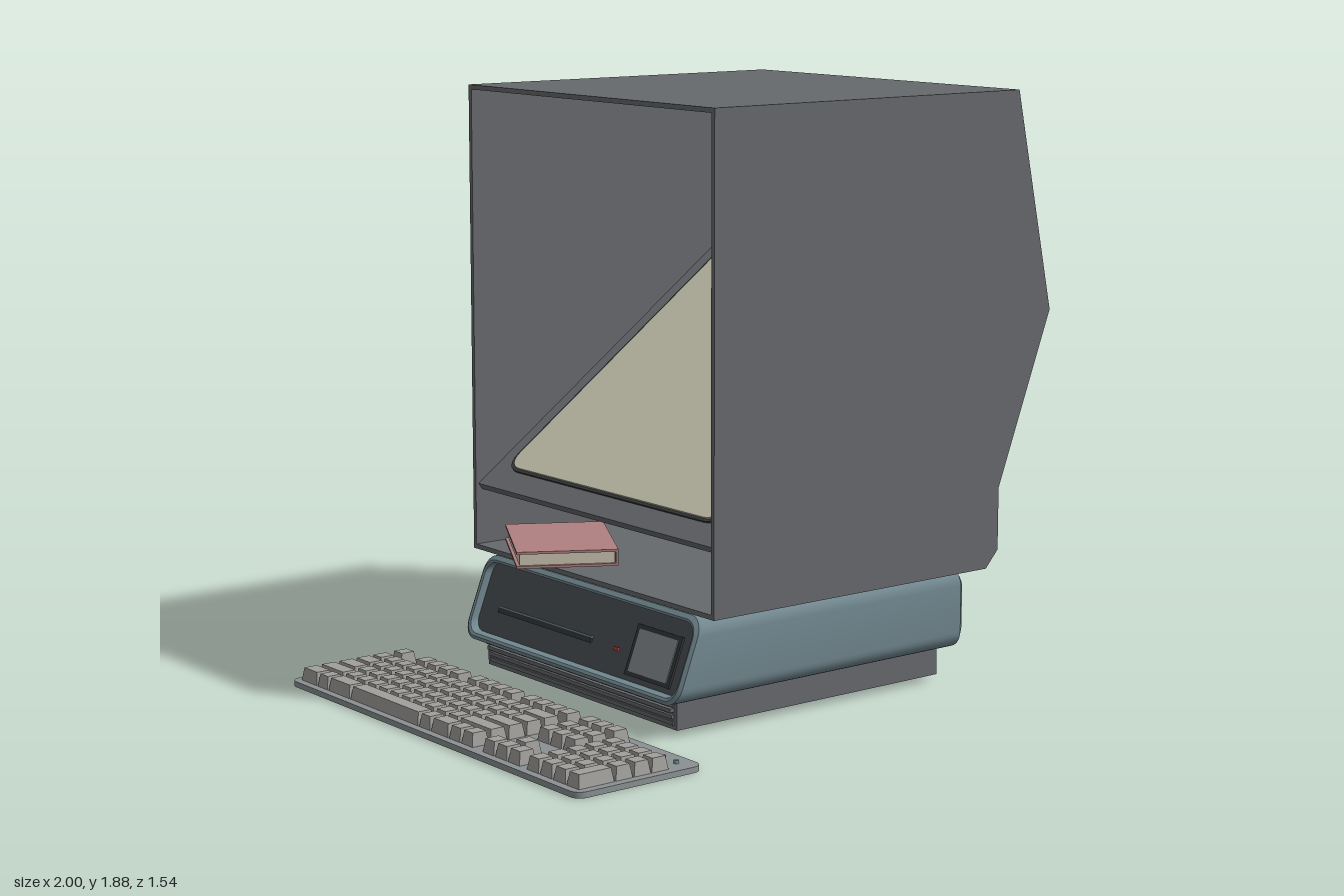
import * as THREE from 'three';
import { toCreasedNormals } from 'three/addons/utils/BufferGeometryUtils.js';

const mat = (color) => new THREE.MeshStandardMaterial({ color });
const M = {
  shell: mat(0x66696c), teal: mat(0x728890), panel: mat(0x4c5357), dark: mat(0x35393b),
  plate: mat(0x8b9193), key: mat(0xa09f9b), screen: mat(0xc2c0aa), cover: mat(0xb08080),
  pages: mat(0xd0c8b4), red: mat(0xb04038), green: mat(0x6f9a90),
};

function add(parent, name, geometry, material, x = 0, y = 0, z = 0) {
  const mesh = new THREE.Mesh(geometry, material);
  mesh.name = name;
  mesh.position.set(x, y, z);
  parent.add(mesh);
  return mesh;
}

function group(parent, name, x = 0, y = 0, z = 0) {
  const g = new THREE.Group();
  g.name = name;
  g.position.set(x, y, z);
  parent.add(g);
  return g;
}

const box = (x, y, z) => new THREE.BoxGeometry(x, y, z);

// Counter-clockwise rounded rectangle centred on the origin
function roundedRect(w, h, r, steps = 6) {
  const pts = [];
  [[1, 1], [-1, 1], [-1, -1], [1, -1]].forEach(([sx, sy], c) => {
    for (let i = 0; i <= steps; i++) {
      const a = (c + i / steps) * Math.PI / 2;
      pts.push(new THREE.Vector2(sx * (w / 2 - r) + r * Math.cos(a), sy * (h / 2 - r) + r * Math.sin(a)));
    }
  });
  return pts;
}

function extrude(pts, depth) {
  return new THREE.ExtrudeGeometry(new THREE.Shape(pts), { depth, bevelEnabled: false });
}

// Flat rounded slab lying in the xz plane, its base on y = 0
const slab = (x, z, r, thick) => toCreasedNormals(extrude(roundedRect(x, z, r), thick).rotateX(-Math.PI / 2), 0.6);

// Loft rings along x; optional caps close the two ends
function loft(rings, capStart, capEnd) {
  const pos = [];
  const tri = (...v) => v.forEach((p) => pos.push(p.x, p.y, p.z));
  const n = rings[0].length;
  for (let k = 0; k < rings.length - 1; k++) {
    for (let i = 0; i < n; i++) {
      const j = (i + 1) % n;
      const [a, b, c, d] = [rings[k][i], rings[k][j], rings[k + 1][j], rings[k + 1][i]];
      tri(a, d, c);
      tri(a, c, b);
    }
  }
  const last = rings[rings.length - 1];
  for (let i = 1; i < n - 1; i++) {
    if (capStart) tri(rings[0][0], rings[0][i], rings[0][i + 1]);
    if (capEnd) tri(last[0], last[i + 1], last[i]);
  }
  const g = new THREE.BufferGeometry();
  g.setAttribute('position', new THREE.Float32BufferAttribute(pos, 3));
  return toCreasedNormals(g, 0.5);
}

// Open-fronted cabinet with a reclined screen inside
function buildCabinet(root) {
  const cabinet = group(root, 'cabinet');
  const v = (list) => list.map(([x, y]) => new THREE.Vector2(x, y));
  const outer = [[-0.36, 0.375], [0.74, 0.375], [0.79, 0.43], [0.79, 0.63], [1, 1.18], [0.85, 1.88], [-0.36, 1.88]];
  const inner = [[-0.36, 1.865], [0.838, 1.865], [0.984, 1.18], [0.775, 0.633], [0.775, 0.436], [0.733, 0.39], [-0.36, 0.39]];
  add(cabinet, 'cabinetWrap', extrude(v([...outer, ...inner]), 1.22), M.shell, 0, 0, -0.655);
  for (const z of [-0.67, 0.565]) add(cabinet, 'sidePanel', extrude(v(outer), 0.015), M.shell, 0, 0, z);

  const display = group(cabinet, 'display', -0.35, 0.59, -0.045);
  display.rotation.z = Math.atan2(0.585, 0.81);
  add(display, 'screenBezel', box(1.55, 0.025, 1.22), M.shell, 0.775, -0.0125, 0);
  add(display, 'screenRim', slab(1.32, 1.11, 0.07, 0.006), M.dark, 0.74, 0, 0);
  add(display, 'screen', slab(1.3, 1.08, 0.06, 0.012), M.screen, 0.74, 0, 0);
}

// Teal base unit with a leaning, recessed front
function buildBase(root) {
  const base = group(root, 'baseUnit');
  const cy = 0.24, cz = -0.04;
  const ring = (inset, xAt) => roundedRect(1.12 - 2 * inset, 0.26 - 2 * inset, 0.055 - inset * 0.6)
    .map((p) => new THREE.Vector3(xAt(p.y), cy + p.y, cz + p.x));
  const lean = (off) => (y) => -0.41 + off + y * (0.1 / 0.26);
  add(base, 'baseBody', loft([
    ring(0.022, lean(0.032)), ring(0.02, lean(0.003)), ring(0.012, lean(0)), ring(0, lean(0.008)),
    ring(0, () => 0.69), ring(0.026, () => 0.72),
  ], false, true), M.teal);
  add(base, 'frontPanel', loft([ring(0.02, lean(0.03)), ring(0.02, lean(0.036))], true, true), M.panel);

  // Details on the front panel
  const front = group(base, 'frontDetails', -0.38, cy, cz);
  front.rotation.z = -Math.atan2(0.1, 0.26);
  add(front, 'driveSlot', box(0.012, 0.016, 0.5), M.dark, 0, -0.035, -0.19);
  add(front, 'driveSlotLip', box(0.018, 0.006, 0.5), M.teal, 0, -0.024, -0.19);
  add(front, 'indicatorLight', box(0.016, 0.012, 0.02), M.red, 0, -0.035, 0.19);
  add(front, 'windowFrame', box(0.014, 0.16, 0.22), M.dark, 0, -0.02, 0.37);
  add(front, 'window', box(0.02, 0.135, 0.19), M.plate, 0, -0.02, 0.37);

  // Plinth with stepped ribs at its front
  add(base, 'plinth', box(1.05, 0.095, 0.99), M.shell, 0.125, 0.0675, cz);
  for (let i = 0; i < 4; i++) {
    add(base, 'plinthRib', box(0.03, 0.012, 0.96), M.shell, -0.405 + i * 0.005, 0.1 - i * 0.02, cz);
  }
}

// Book lying askew on the cabinet floor
function buildBook(root) {
  const book = group(root, 'book', -0.492, 0.4, -0.24);
  book.rotation.y = Math.PI / 3;
  const w = 0.42, d = 0.32;
  for (const y of [0.005, 0.05]) add(book, 'bookCover', box(w, 0.008, d), M.cover, w / 2, y, d / 2);
  add(book, 'bookPages', box(w - 0.02, 0.04, d - 0.02), M.pages, w / 2, 0.0275, d / 2);
  add(book, 'bookSpine', box(w, 0.045, 0.008), M.cover, w / 2, 0.0275, d - 0.004);
}

// Keycap narrowing towards its top
function keycap(x, z, h) {
  const g = box(x, h, z);
  const p = g.attributes.position;
  for (let i = 0; i < p.count; i++) {
    if (p.getY(i) > 0) {
      p.setX(i, p.getX(i) - Math.sign(p.getX(i)) * 0.007);
      p.setZ(i, p.getZ(i) - Math.sign(p.getZ(i)) * 0.007);
    }
  }
  g.computeVertexNormals();
  return g;
}

function buildKeyboard(root) {
  const board = group(root, 'keyboard', -0.775, 0, 0);
  add(board, 'keyboardPlate', slab(0.45, 1.545, 0.035, 0.018), M.plate);
  const u = 0.0645, gap = 0.006, h = 0.043;
  const rowX = [-0.17, -0.105, -0.04, 0.025, 0.088, 0.167];
  const key = (x, z, units = 1, depth = 0.06) => {
    add(board, 'key', keycap(depth, units * u - gap, h), M.key, x, 0.016 + h / 2, z + units * u / 2);
  };
  const ones = (n) => Array(n).fill(1);
  // Main block: key widths per row, nearest the user first
  [
    [1.5, 1, 2, 6, 1, 1.5, 1, 1],
    [2.25, ...ones(10), 2.75],
    [1.75, ...ones(11), 2.25],
    [1.5, ...ones(12), 1.5],
    [...ones(13), 2],
  ].forEach((row, r) => {
    let z = -0.747;
    for (const w of row) {
      key(rowX[r], z, w);
      z += w * u;
    }
  });
  // Top row
  key(rowX[5], -0.747);
  for (const start of [-0.615, -0.322, -0.033]) for (let i = 0; i < 4; i++) key(rowX[5], start + i * u);
  // Navigation, arrow and number pads
  for (let i = 0; i < 3; i++) {
    for (const r of [0, 3, 4, 5]) key(rowX[r], 0.267 + i * u);
    key(rowX[0], 0.49 + i * u);
    key(rowX[1], 0.49 + i * u);
  }
  key(rowX[1], 0.267 + u);
  for (let r = 2; r < 5; r++) for (let i = 0; i < 4; i++) key(rowX[r], 0.49 + i * u);
  key((rowX[0] + rowX[1]) / 2, 0.49 + 3 * u, 1, 0.125);
  // Status lights
  [[0.65, M.red], [0.71, M.green]].forEach(([z, m]) => {
    add(board, 'statusLight', new THREE.CylinderGeometry(0.008, 0.008, 0.012, 12), m, 0.172, 0.022, z);
  });
}

export function createModel() {
  const root = new THREE.Group();
  root.name = 'desktopComputer';
  buildCabinet(root);
  buildBase(root);
  buildBook(root);
  buildKeyboard(root);
  return root;
}
